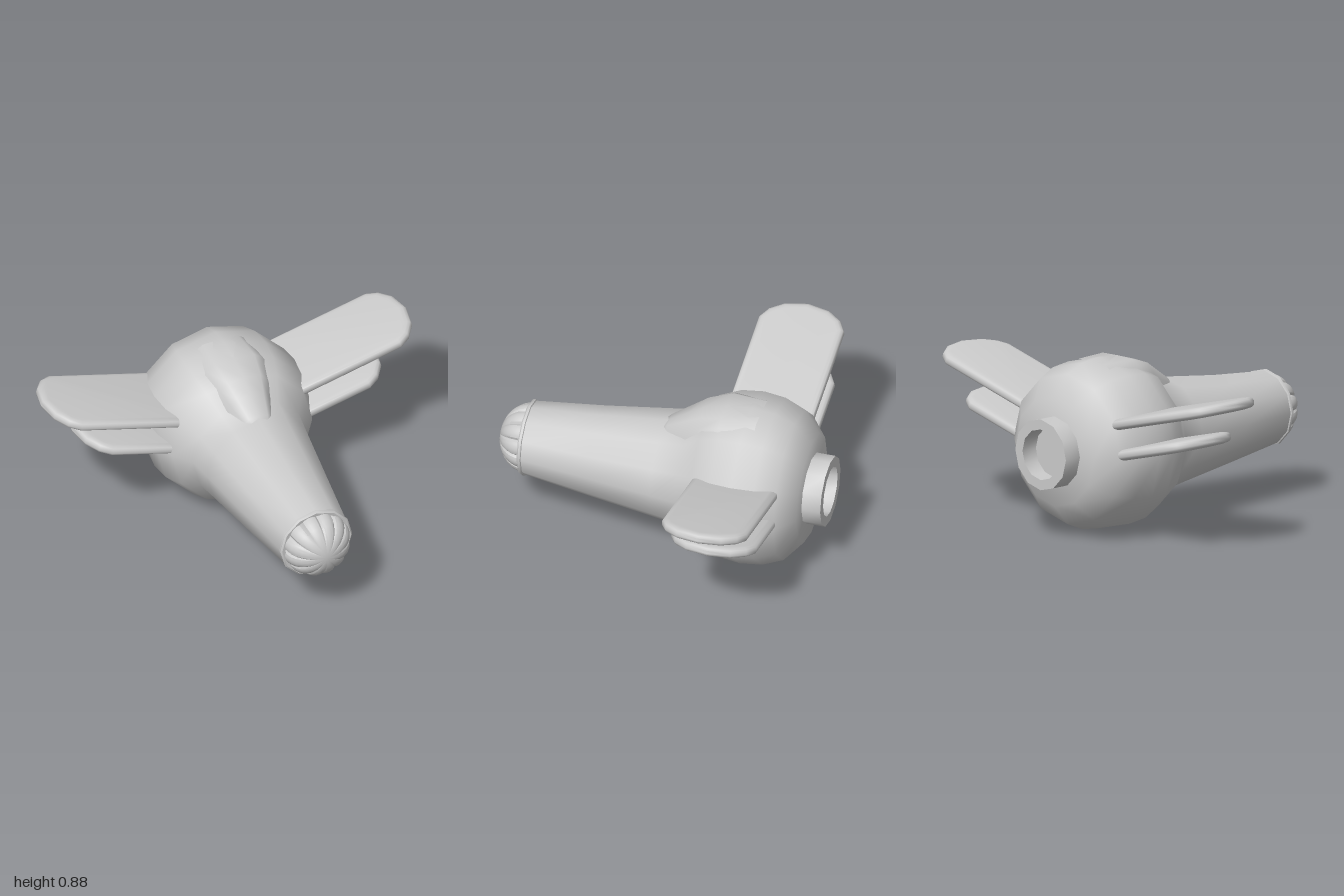
import * as THREE from 'three';
import { toCreasedNormals } from 'three/addons/utils/BufferGeometryUtils.js';

const AXIS_Y = 0.445; // height of the fuselage axis
const WING_Z = -0.455;
const material = new THREE.MeshStandardMaterial({ color: 0xcccccc });

function part(name, geometry, crease = 0.7) {
  const mesh = new THREE.Mesh(toCreasedNormals(geometry, crease), material);
  mesh.name = name;
  return mesh;
}

// Profile of [z, radius] pairs, running from back to front, turned about the z axis
function turned(profile, sides = 12) {
  const points = profile.map(([z, r]) => new THREE.Vector2(r, z));
  return new THREE.LatheGeometry(points, sides).rotateX(Math.PI / 2);
}

// Move every vertex by a rule
function reshape(geometry, rule) {
  const p = geometry.attributes.position;
  const v = new THREE.Vector3();
  for (let i = 0; i < p.count; i++) {
    rule(v.fromBufferAttribute(p, i));
    p.setXYZ(i, v.x, v.y, v.z);
  }
  return geometry;
}

// Round rear body running into a tapering nose, flattened along the top
function hullGeometry() {
  const hull = turned([
    [-0.76, 0], [-0.76, 0.28], [-0.67, 0.385], [-0.565, 0.427], [-0.45, 0.44],
    [-0.335, 0.427], [-0.225, 0.382], [-0.135, 0.308], [0, 0.288], [0.35, 0.24], [0.715, 0.188],
  ]);
  return reshape(hull, (v) => {
    if (v.y <= 0 || v.z < -0.15) return;
    const flat = v.z < 0 ? 0.07 : 0.15 * (1 - v.z / 0.715);
    v.y *= 1 - flat;
  });
}

// Fluted dome with twelve puffed segments
function domeGeometry() {
  const profile = [];
  for (let i = 0; i <= 8; i++) {
    const a = (i / 8) * Math.PI / 2;
    profile.push([0.71 + 0.148 * Math.sin(a), 0.178 * Math.cos(a)]);
  }
  return reshape(turned(profile, 96), (v) => {
    const puff = Math.abs(Math.sin(6 * Math.atan2(v.x, v.y)));
    const s = 0.9 + 0.1 * Math.sqrt(puff);
    v.x *= s;
    v.y *= s;
  });
}

// Raised fairing lofted through arched sections: [z, half width, top, base]
function fairingGeometry() {
  const sections = [
    [0.015, 0.06, 0.69, 0.64], [-0.02, 0.085, 0.72, 0.65], [-0.12, 0.12, 0.785, 0.66],
    [-0.2, 0.15, 0.835, 0.72], [-0.32, 0.18, 0.872, 0.79], [-0.5, 0.16, 0.87, 0.79],
  ];
  const arch = [[-1, 0], [-0.85, 0.6], [-0.6, 0.96], [0, 1], [0.6, 0.96], [0.85, 0.6], [1, 0]];
  const n = arch.length;
  const positions = [];
  const index = [];
  sections.forEach(([z, w, top, base], s) => {
    for (const [x, y] of arch) positions.push(x * w, base + y * (top - base), z);
    for (let i = 0; i < n - 1; i++) {
      // Close the front end
      if (s === 0 && i > 0) index.push(0, i + 1, i);
      if (s === 0) continue;
      const a = (s - 1) * n + i;
      const b = s * n + i;
      index.push(a, a + 1, b, a + 1, b + 1, b);
    }
  });
  const geometry = new THREE.BufferGeometry();
  geometry.setAttribute('position', new THREE.Float32BufferAttribute(positions, 3));
  geometry.setIndex(index);
  return geometry;
}

// Flat wing with softened edges and a rounded tip at the local origin
function wingGeometry(length) {
  const bevel = 0.035;
  const half = 0.222 - bevel;
  const shape = new THREE.Shape();
  shape.moveTo(-length, -half);
  for (const [x, z] of [[-0.105, -1], [-0.06, -0.86], [-0.02, -0.55], [0, 0],
    [-0.02, 0.55], [-0.06, 0.86], [-0.105, 1]]) shape.lineTo(x - bevel, z * half);
  shape.lineTo(-length, half);
  shape.closePath();
  const geometry = new THREE.ExtrudeGeometry(shape, {
    depth: 0.016, bevelThickness: 0.02, bevelSize: bevel, bevelSegments: 3,
  });
  return geometry.translate(0, 0, -0.008).rotateX(Math.PI / 2).rotateZ(THREE.MathUtils.degToRad(14.7));
}

export function createModel() {
  const model = new THREE.Group();
  model.name = 'craft';

  // Fuselage, rim, dome and hollow exhaust share one axis
  const fuselage = new THREE.Group();
  fuselage.name = 'fuselage';
  fuselage.position.y = AXIS_Y;
  fuselage.add(part('hull', hullGeometry(), 0.95));
  fuselage.add(part('noseRim', turned([
    [0.7, 0.185], [0.705, 0.196], [0.717, 0.196], [0.724, 0.188], [0.722, 0.17], [0.705, 0.165],
  ])));
  fuselage.add(part('noseDome', domeGeometry(), 0.45));
  fuselage.add(part('exhaust', turned([
    [-0.765, 0], [-0.765, 0.13], [-0.858, 0.13], [-0.858, 0.182], [-0.74, 0.182],
  ].map(([z, r]) => [z, r]))));
  model.add(fuselage);

  model.add(part('topFairing', fairingGeometry(), 0.9));

  // Two wings on each side, the right side being the left one turned about
  for (const side of ['left', 'right']) {
    const wings = new THREE.Group();
    wings.name = side + 'Wings';
    wings.position.z = WING_Z;
    if (side === 'right') wings.rotation.y = Math.PI;
    const upper = part('upperWing', wingGeometry(0.72), 0.8);
    upper.position.set(0.994, 0.793, 0);
    const lower = part('lowerWing', wingGeometry(0.58), 0.8);
    lower.position.set(0.826, 0.588, 0);
    wings.add(upper, lower);
    model.add(wings);
  }
  return model;
}
